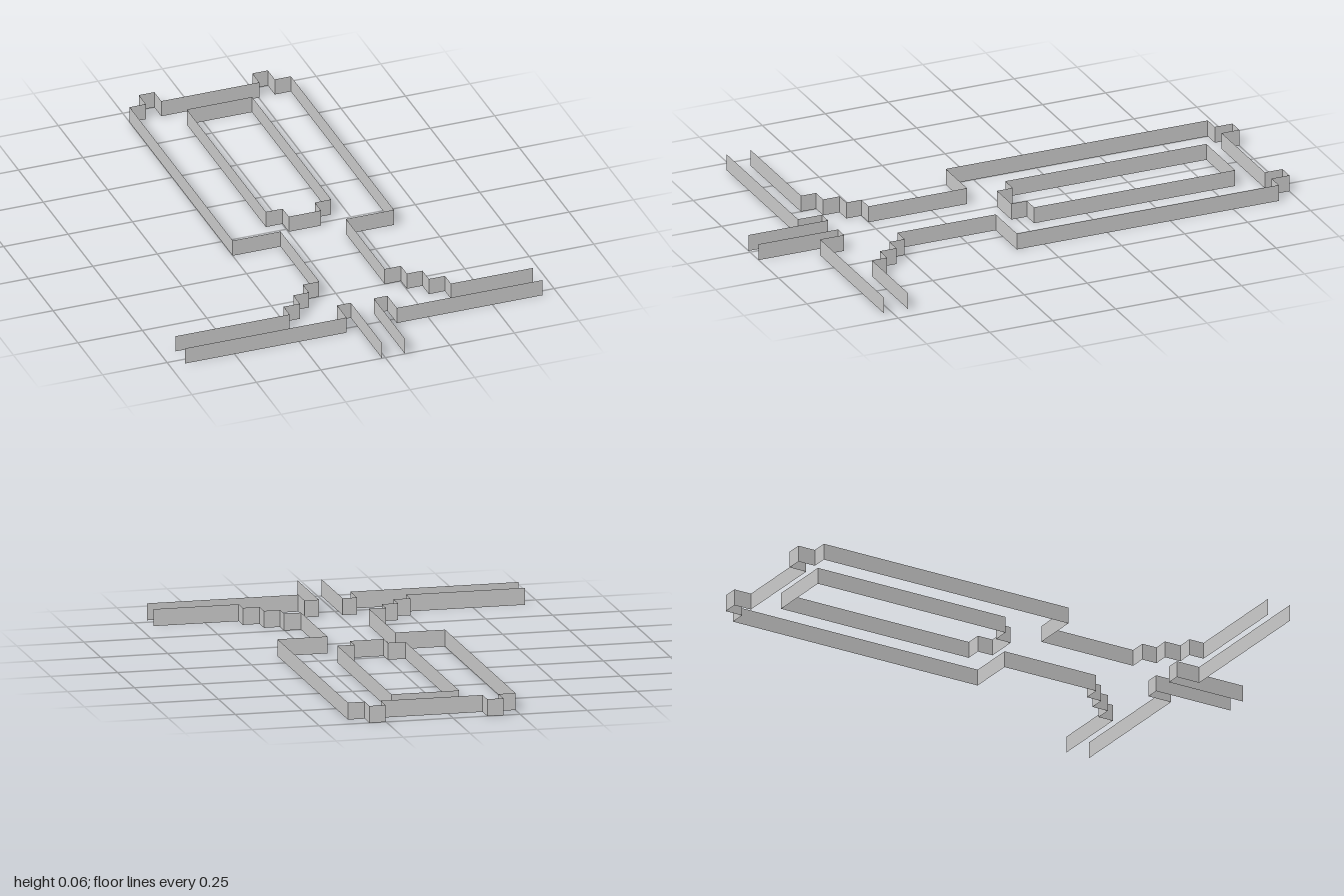
import * as THREE from 'three';

const HEIGHT = 0.063;
const material = new THREE.MeshStandardMaterial({ color: 0xcccccc, side: THREE.DoubleSide, flatShading: true });

// Thin upright wall following a plan path of [x, z] points
function wall(name, path) {
  const positions = [];
  for (let i = 0; i < path.length - 1; i++) {
    const [ax, az] = path[i];
    const [bx, bz] = path[i + 1];
    positions.push(
      ax, 0, az, bx, 0, bz, bx, HEIGHT, bz,
      ax, 0, az, bx, HEIGHT, bz, ax, HEIGHT, az
    );
  }
  const geometry = new THREE.BufferGeometry();
  geometry.setAttribute('position', new THREE.Float32BufferAttribute(positions, 3));
  geometry.computeVertexNormals();
  const mesh = new THREE.Mesh(geometry, material);
  mesh.name = name;
  return mesh;
}

// Half of the outer outline, from arm tip to the back crossbar;
// side is -1 or 1, measured from the body's centre line
function outerHalf(side) {
  const centre = 0.0625;
  const offsets = [
    // stepped shoulder
    [0.3125, 0.685], [0.3125, 0.625], [0.25, 0.625], [0.25, 0.56],
    [0.19, 0.56], [0.19, 0.5], [0.127, 0.5],
    // neck and long side
    [0.127, 0.11], [0.3125, 0.11], [0.3125, -0.93],
    // back foot
    [0.25, -0.93], [0.25, -1], [0.19, -1], [0.19, -0.93],
  ];
  return [[side * 0.693, 0.685], ...offsets.map(([d, z]) => [centre + side * d, z])];
}

// Front passage: arm, short return and stem
function passage(side) {
  const centre = 0.0315;
  return [
    [side * 0.693, 0.78],
    [centre + side * 0.0975, 0.78],
    [centre + side * 0.0975, 0.685],
    [centre + side * 0.0445, 0.685],
    [centre + side * 0.0445, 1],
  ];
}

export function createModel() {
  const model = new THREE.Group();
  model.name = 'floorPlanWalls';

  model.add(wall('outerWall', [...outerHalf(-1), ...outerHalf(1).reverse()]));
  model.add(wall('rightPassageWall', passage(-1)));
  model.add(wall('leftPassageWall', passage(1)));

  // Closed inner loop with a shallow bay at the front
  model.add(wall('innerWall', [
    [-0.063, -0.84], [0.19, -0.84], [0.19, -0.042], [0.127, -0.042],
    [0.127, 0.02], [0.002, 0.02], [0.002, -0.042], [-0.063, -0.042], [-0.063, -0.84],
  ]));

  return model;
}
